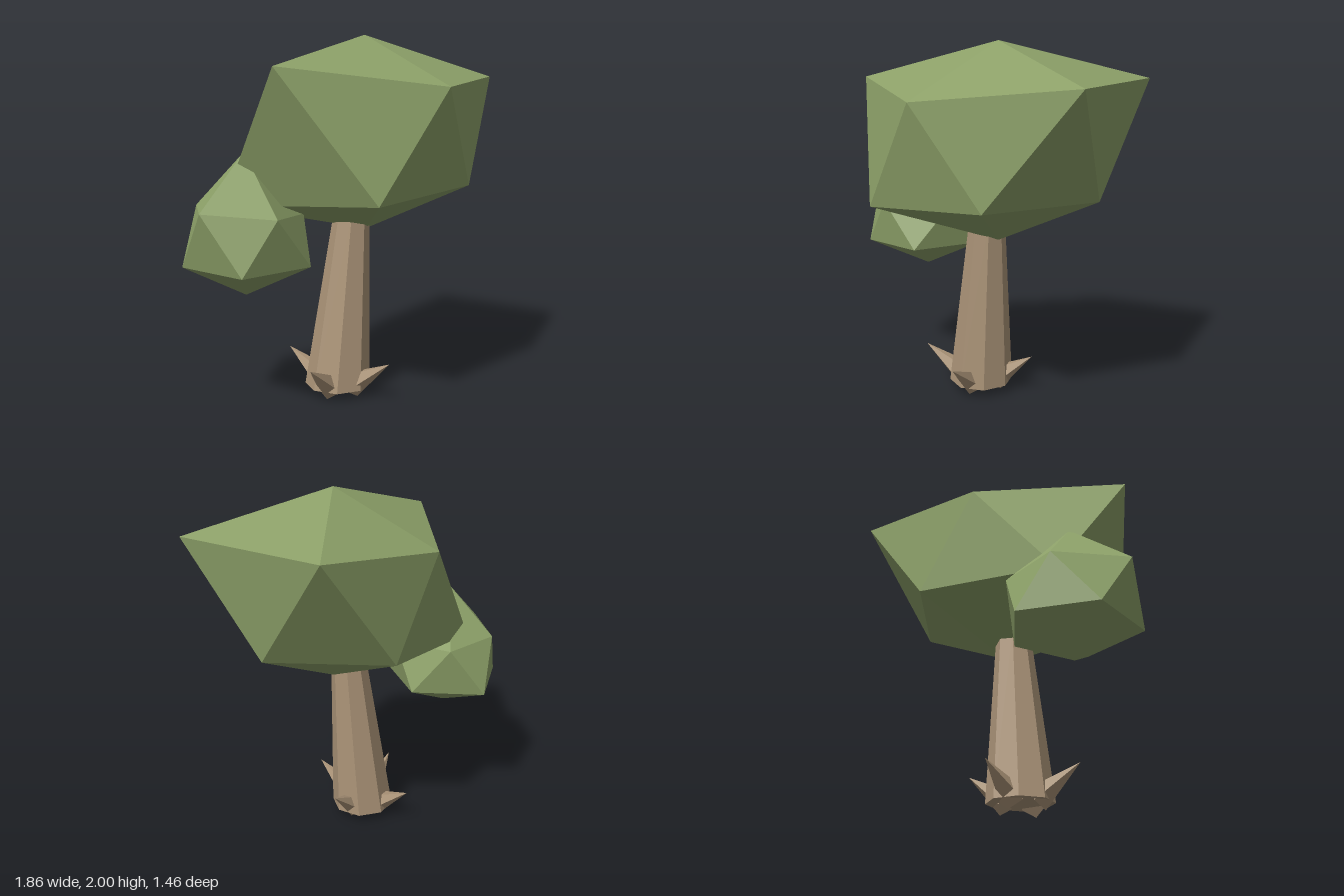
import * as THREE from 'three';

const leaf = new THREE.MeshStandardMaterial({ color: 0x8ca068, flatShading: true });
const bark = new THREE.MeshStandardMaterial({ color: 0xab9478, flatShading: true });

// Uneven icosahedron: a top, two staggered rings of five, a bottom
function foliage(name, top, upper, lower, bottom) {
  const tri = [];
  for (let i = 0; i < 5; i++) {
    const j = (i + 1) % 5;
    tri.push(top, upper[i], upper[j]);
    tri.push(upper[i], lower[i], upper[j]);
    tri.push(lower[i], lower[j], upper[j]);
    tri.push(bottom, lower[j], lower[i]);
  }
  const geo = new THREE.BufferGeometry();
  geo.setAttribute('position', new THREE.Float32BufferAttribute(tri.flat(), 3));
  geo.computeVertexNormals();
  const mesh = new THREE.Mesh(geo, leaf);
  mesh.name = name;
  return mesh;
}

export function createModel() {
  const tree = new THREE.Group();
  tree.name = 'tree';

  // Foliage
  tree.add(foliage('mainCrown', [0.12, 2, 0.065],
    [[-0.56, 1.8, 0.56], [0.32, 1.71, 0.665], [0.925, 1.785, 0.065], [0.385, 1.8, -0.73], [-0.35, 1.7, -0.28]],
    [[-0.09, 1.14, 0.725], [0.59, 1.19, 0.41], [0.59, 1.19, -0.27], [-0.057, 1.185, -0.49], [-0.685, 1.1, 0.06]],
    [0.13, 0.93, 0.07]));
  tree.add(foliage('sideCrown', [-0.6, 1.385, 0.18],
    [[-0.88, 1.105, 0.385], [-0.52, 1.07, 0.49], [-0.28, 1.05, 0.18], [-0.5, 1.08, -0.14], [-0.81, 1.1, -0.02]],
    [[-0.71, 0.8, 0.52], [-0.315, 0.805, 0.39], [-0.315, 0.805, -0.03], [-0.71, 0.8, -0.17], [-0.93, 0.81, 0.18]],
    [-0.6, 0.638, 0.18]));

  // Leaning, tapered octagonal trunk
  const h = 0.98;
  const trunkGeo = new THREE.CylinderGeometry(0.1, 0.183, h, 8, 1);
  trunkGeo.rotateY(Math.PI / 8);
  trunkGeo.translate(0, h / 2, 0);
  const p = trunkGeo.attributes.position;
  for (let i = 0; i < p.count; i++) p.setX(i, p.getX(i) + 0.085 * p.getY(i) / h);
  const trunk = new THREE.Mesh(trunkGeo, bark);
  trunk.name = 'trunk';
  trunk.position.set(-0.05, 0.05, 0.09);
  tree.add(trunk);

  // Four pointed roots growing outward and up from the trunk's foot
  const tips = [[-0.3, 0.225, 0.325], [0.145, 0.22, 0.365], [0.18, 0.225, -0.12], [-0.25, 0.215, -0.165]];
  const up = new THREE.Vector3(0, 1, 0);
  tips.forEach((t) => {
    const tip = new THREE.Vector3(...t);
    const out = new THREE.Vector3(t[0] + 0.055, 0, t[2] - 0.1).normalize();
    const base = new THREE.Vector3(-0.055, 0.063, 0.1).addScaledVector(out, 0.09);
    const axis = tip.clone().sub(base);
    const geo = new THREE.ConeGeometry(0.075, axis.length(), 5);
    geo.rotateY(Math.atan2(out.x, out.z));
    const root = new THREE.Mesh(geo, bark);
    root.name = 'root';
    root.position.copy(base).add(tip).multiplyScalar(0.5);
    root.quaternion.setFromUnitVectors(up, axis.normalize());
    tree.add(root);
  });

  return tree;
}
